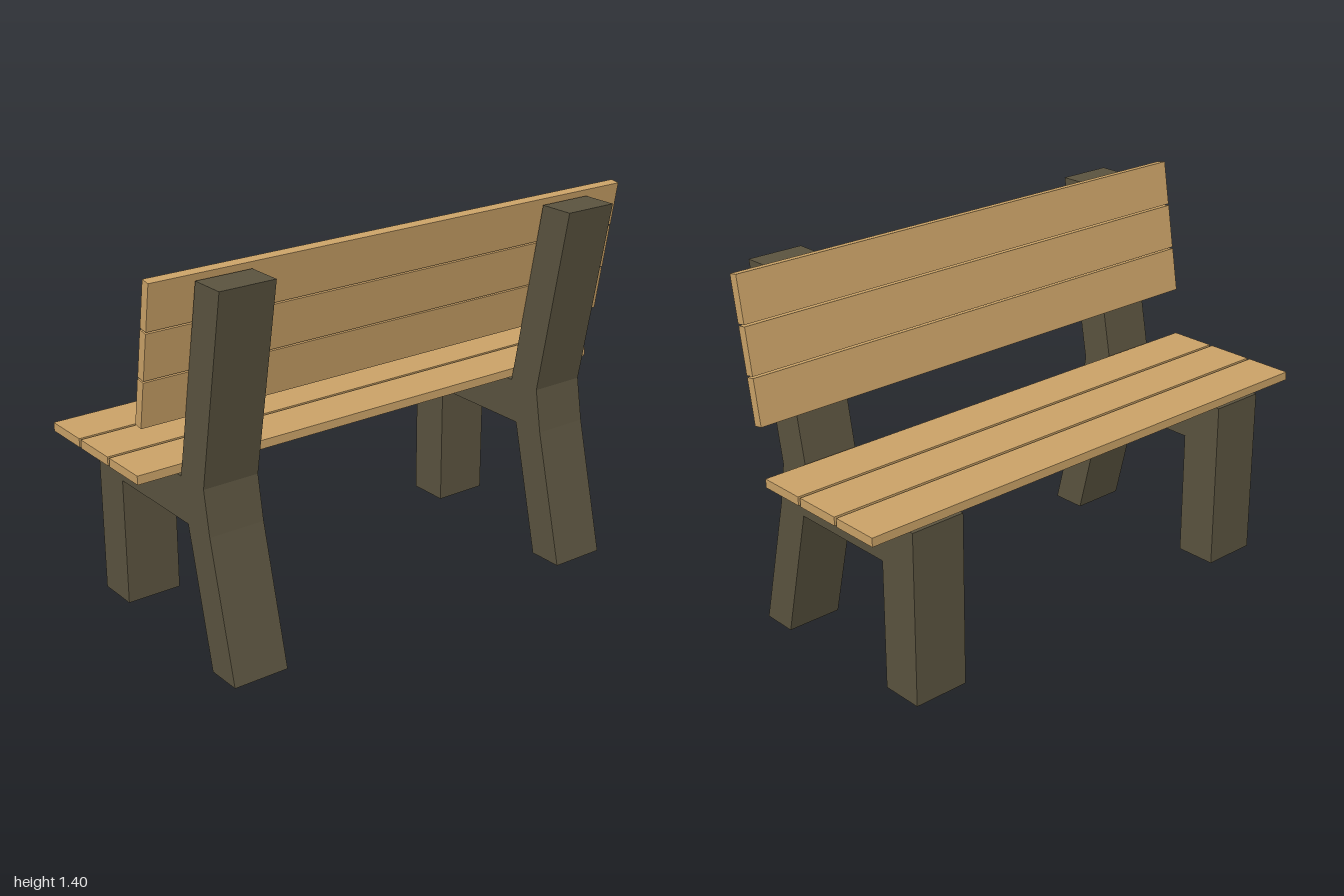
import * as THREE from 'three';

export function createModel() {
  const group = new THREE.Group();
  group.name = 'bench';
  const wood = new THREE.MeshStandardMaterial({ color: 0xcaa267 });
  wood.name = 'light wood';
  const dark = new THREE.MeshStandardMaterial({ color: 0x5a533f });
  dark.name = 'dark olive frame';

  // Side frame: legs, seat rail and back post in one outline (z, y)
  const outline = [
    [0.43, 0], [0.295, 0], [0.173, 0.505], [-0.26, 0.505], [-0.26, 0.022], [-0.42, 0.022],
    [-0.42, 0.667], [0.14, 0.667], [0.273, 1.373], [0.408, 1.373], [0.277, 0.667], [0.305, 0.505],
  ];
  const width = 0.212;
  const frame = new THREE.ExtrudeGeometry(
    new THREE.Shape(outline.map(([z, y]) => new THREE.Vector2(z, y))),
    { depth: width, bevelEnabled: false },
  );
  frame.translate(0, 0, -width / 2).rotateY(-Math.PI / 2);
  for (const side of [-1, 1]) {
    const mesh = new THREE.Mesh(frame, dark);
    mesh.name = side > 0 ? 'leftFrame' : 'rightFrame';
    mesh.position.x = side * 0.729;
    group.add(mesh);
  }

  // Planks spanning the full width
  function plank(name, height, depth, y, z, tilt = 0) {
    const mesh = new THREE.Mesh(new THREE.BoxGeometry(2, height, depth), wood);
    mesh.name = name;
    mesh.position.set(0, y, z);
    mesh.rotation.x = tilt;
    group.add(mesh);
  }
  for (let i = 0; i < 3; i++) {
    plank(`seatPlank${i + 1}`, 0.032, 0.182, 0.696, 0.051 - i * 0.1935);
    plank(`backPlank${i + 1}`, 0.167, 0.035, 1.316 - i * 0.1705, 0.239 - i * 0.03, 0.168);
  }
  return group;
}
